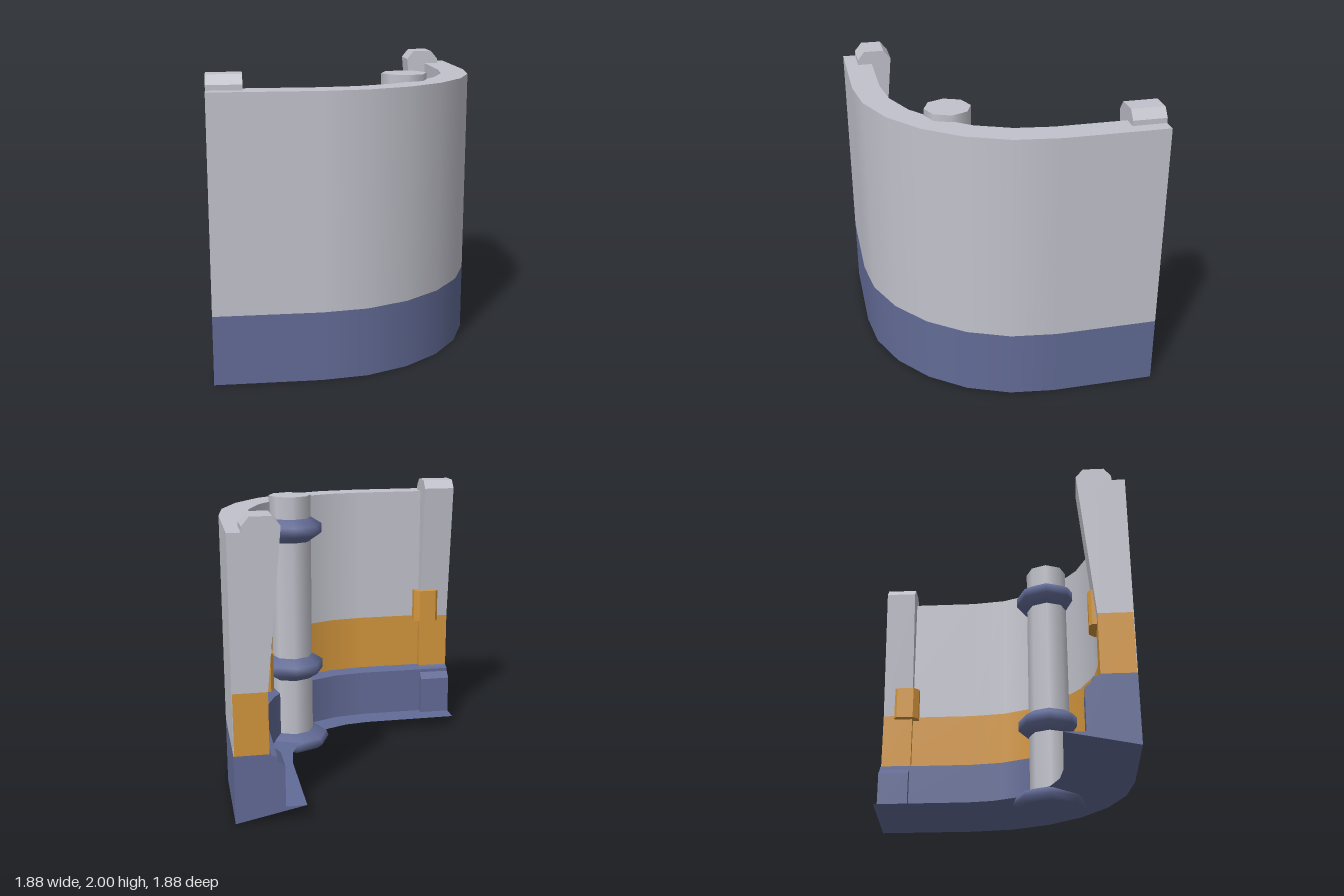
import * as THREE from 'three';

const END = 0.94, CENTRE = -0.23, ARC_STEPS = 6;

// Stations along the bent wall: straight, quarter arc, straight
function stations() {
  const list = [{ n: [0, 1], at: (r) => [-END, CENTRE + r] }];
  for (let i = 0; i <= ARC_STEPS; i++) {
    const a = (i / ARC_STEPS) * Math.PI / 2, n = [Math.sin(a), Math.cos(a)];
    list.push({ n, at: (r) => [CENTRE + r * n[0], CENTRE + r * n[1]] });
  }
  list.push({ n: [1, 0], at: (r) => [CENTRE + r, -END] });
  return list;
}

// Sweep a clockwise [radius, y] profile along the wall, with flat end caps
function sweepWall(profile) {
  const pos = [], nor = [], idx = [], path = stations();
  const add = (s, [r, y], n) => {
    const [x, z] = s.at(r);
    pos.push(x, y, z);
    nor.push(...n);
    return pos.length / 3 - 1;
  };
  profile.forEach((p, i) => {
    const q = profile[(i + 1) % profile.length];
    const len = Math.hypot(q[0] - p[0], q[1] - p[1]);
    const nr = -(q[1] - p[1]) / len, ny = (q[0] - p[0]) / len;
    const start = pos.length / 3;
    path.forEach((s) => {
      const n = [nr * s.n[0], ny, nr * s.n[1]];
      add(s, p, n);
      add(s, q, n);
    });
    for (let k = 0; k < path.length - 1; k++) {
      const a = start + 2 * k;
      idx.push(a, a + 1, a + 2, a + 1, a + 3, a + 2);
    }
  });
  const contour = profile.map(([r, y]) => new THREE.Vector2(r, y));
  const faces = THREE.ShapeUtils.triangulateShape(contour, []);
  [[path[0], [-1, 0, 0], 1], [path[path.length - 1], [0, 0, -1], -1]].forEach(([s, n, sign]) => {
    const start = pos.length / 3;
    profile.forEach((p) => add(s, p, n));
    faces.forEach((f) => {
      const t = f.map((k) => contour[k]);
      const ok = THREE.ShapeUtils.area(t) * sign > 0;
      idx.push(start + f[0], start + f[ok ? 1 : 2], start + f[ok ? 2 : 1]);
    });
  });
  const g = new THREE.BufferGeometry();
  g.setAttribute('position', new THREE.Float32BufferAttribute(pos, 3));
  g.setAttribute('normal', new THREE.Float32BufferAttribute(nor, 3));
  g.setIndex(idx);
  return g;
}

function extrude(points, depth) {
  const shape = new THREE.Shape(points.map(([x, y]) => new THREE.Vector2(x, y)));
  return new THREE.ExtrudeGeometry(shape, { depth, bevelEnabled: false });
}

export function createModel() {
  const group = new THREE.Group();
  const material = (name, color) => {
    const m = new THREE.MeshStandardMaterial({ color });
    m.name = name;
    return m;
  };
  const grey = material('lightGrey', 0xc2c2cc);
  const blue = material('slateBlue', 0x626b96);
  const orange = material('ochre', 0xd2953c);
  const add = (name, geometry, mat) => {
    const mesh = new THREE.Mesh(geometry, mat);
    mesh.name = name;
    group.add(mesh);
    return mesh;
  };

  // Curved wall: skirting with ledge, inner band, grey wall with thin outer skin
  add('skirting', sweepWall([[1.17, 0], [0.7, 0.094], [0.89, 0.094], [0.89, 0.45], [0.98, 0.47], [1.17, 0.47]]), blue);
  add('innerBand', sweepWall([[1.166, 0.47], [0.98, 0.47], [0.98, 0.89], [1.166, 0.89]]), orange);
  add('wall', sweepWall([[0.98, 0.89], [0.98, 1.905], [1.17, 1.905], [1.17, 0.47], [1.166, 0.47], [1.166, 0.89]]), grey);

  // End posts, in three colours from bottom to top
  const posts = [
    ['postFoot', blue, [[0.76, 0.08], [0.61, 0.08], [0.61, 0.38], [0.71, 0.47], [0.76, 0.47]]],
    ['postBand', orange, [[0.76, 0.47], [0.71, 0.47], [0.71, 0.89], [0.76, 0.89]]],
    ['postTop', grey, [[0.76, 0.89], [0.71, 0.89], [0.61, 1.94], [0.66, 2], [0.8, 2], [0.85, 1.94], [0.85, 1.9], [0.76, 1.9]]],
  ];
  posts.forEach(([name, mat, outline]) => {
    add(name + 'Back', extrude(outline, 0.23).translate(0, 0, -END), mat);
    add(name + 'Side', extrude(outline, 0.23).translate(0, 0, END - 0.23).rotateY(-Math.PI / 2), mat);
  });

  // Small clips wrapped around the post corners, mirrored across the diagonal
  const clip = [[0.75, -0.66], [0.7, -0.66], [0.66, -0.7], [0.66, -0.83], [0.68, -0.85], [0.75, -0.85]];
  const clipGeometry = (plan) =>
    extrude(plan.map(([x, z]) => [x, -z]), 0.25).rotateX(-Math.PI / 2).translate(0, 0.86, 0);
  add('clipBack', clipGeometry(clip), orange);
  add('clipSide', clipGeometry(clip.map(([x, z]) => [z, x])), orange);

  // Corner column with collars
  const column = new THREE.CylinderGeometry(0.155, 0.155, 1.93, 8);
  add('column', column, grey).position.set(0.383, 0.985, 0.383);
  const lathe = (points) => new THREE.LatheGeometry(points.map(([r, y]) => new THREE.Vector2(r, y)), 8);
  const collar = lathe([[0.15, -0.09], [0.235, -0.035], [0.235, 0.035], [0.15, 0.09]]);
  [0.645, 1.7].forEach((y) => add('collar', collar, blue).position.set(0.383, y, 0.383));
  const foot = lathe([[0, 0.005], [0.23, 0.005], [0.28, 0.045], [0.26, 0.09], [0.15, 0.13]]);
  add('columnFoot', foot, blue).position.set(0.383, 0, 0.383);

  return group;
}
